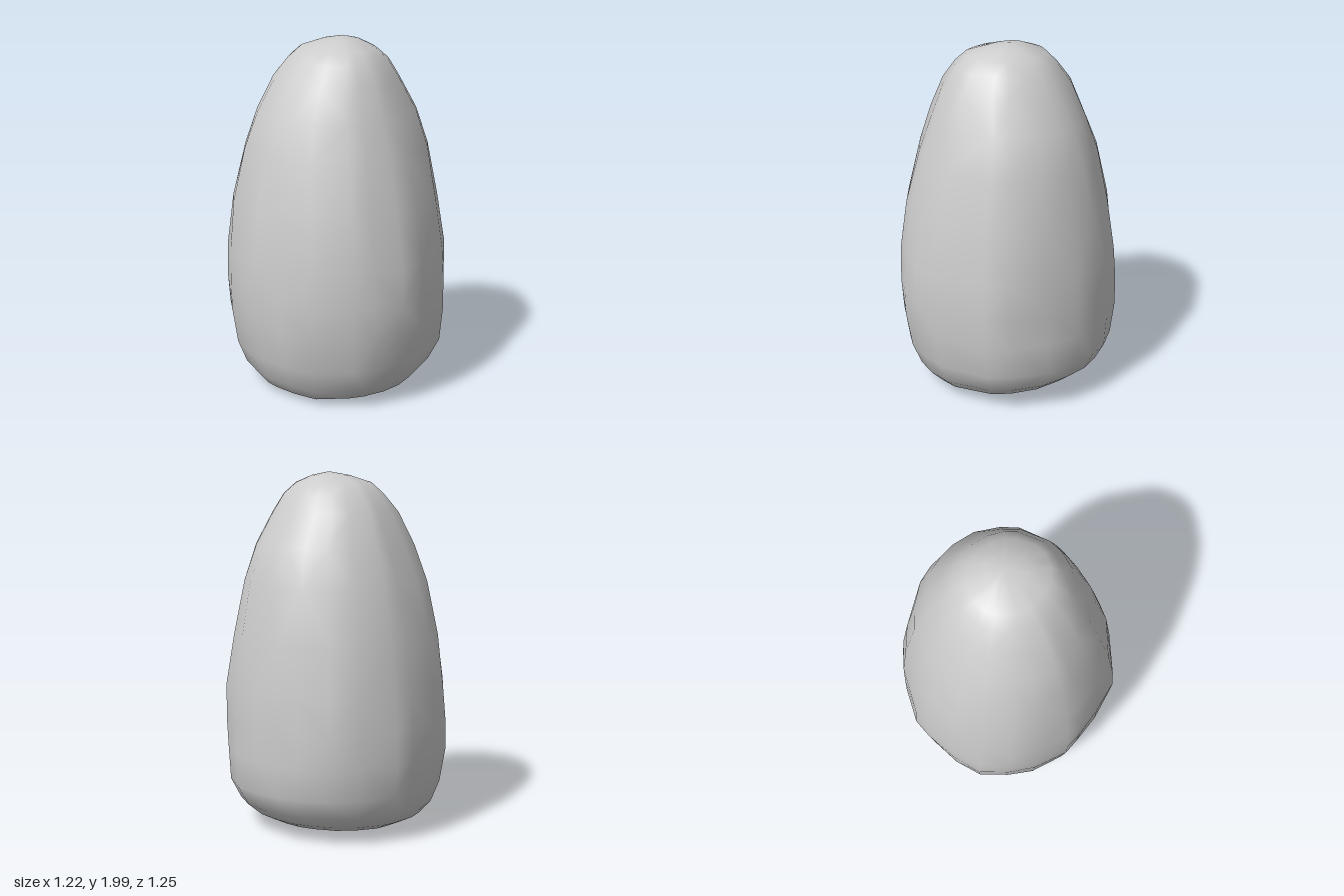
import * as THREE from 'three';

// Irregular plan outline [x, z] at the widest point, from the back round through +x
const OUTLINE = [
  [0.02, -0.63], [0.23, -0.59], [0.38, -0.51], [0.5, -0.38], [0.57, -0.26], [0.605, -0.12],
  [0.615, 0.08], [0.56, 0.28], [0.48, 0.41], [0.23, 0.59], [0.08, 0.625], [-0.09, 0.62],
  [-0.2, 0.59], [-0.42, 0.48], [-0.52, 0.32], [-0.59, 0.15], [-0.615, 0.05], [-0.605, -0.16],
  [-0.55, -0.31], [-0.45, -0.46], [-0.3, -0.55], [-0.1, -0.61],
];

// Cross-sections: height, then reach towards -x, +x, -z, +z
const LEVELS = [
  [0.025, 0.2, 0.2, 0.22, 0.18],
  [0.03, 0.37, 0.38, 0.42, 0.37],
  [0.07, 0.46, 0.46, 0.5, 0.46],
  [0.14, 0.52, 0.54, 0.56, 0.53],
  [0.26, 0.57, 0.605, 0.6, 0.58],
  [0.45, 0.605, 0.61, 0.625, 0.615],
  [0.62, 0.615, 0.612, 0.62, 0.625],
  [0.82, 0.61, 0.61, 0.605, 0.615],
  [1.1, 0.58, 0.57, 0.57, 0.57],
  [1.4, 0.51, 0.52, 0.5, 0.49],
  [1.6, 0.44, 0.45, 0.42, 0.42],
  [1.78, 0.34, 0.34, 0.35, 0.355],
  [1.88, 0.26, 0.28, 0.27, 0.29],
  [1.94, 0.19, 0.21, 0.21, 0.23],
  [1.98, 0.06, 0.13, 0.1, 0.12],
];

function stoneGeometry() {
  const n = OUTLINE.length;
  const pos = [];
  const index = [];
  LEVELS.forEach(([y, left, right, back, front], row) => {
    OUTLINE.forEach(([ox, oz], i) => {
      // slight unevenness, strongest in the middle heights
      const dent = 1 - 0.012 * (1 + Math.sin(i * 2.3 + row * 1.1)) * Math.sin(Math.PI * y / 2);
      const x = (ox / 0.615) * (ox < 0 ? left : right) * dent;
      const z = (oz / 0.627) * (oz < 0 ? back : front) * dent;
      // the underside leans up towards +x and the back
      const tilt = 0.05 * (x - z) * Math.max(0, 1 - y / 0.4);
      pos.push(x, Math.max(0.003, y + tilt), z);
    });
  });
  // side bands
  for (let r = 0; r < LEVELS.length - 1; r++) {
    for (let i = 0; i < n; i++) {
      const a = r * n + i, b = r * n + (i + 1) % n;
      const c = a + n, d = b + n;
      if ((i + r) % 2) index.push(a, c, b, b, c, d);
      else index.push(a, c, d, a, d, b);
    }
  }
  // closing points at the base and crown
  const base = pos.length / 3, crown = base + 1;
  pos.push(0, 0.02, 0, 0.04, 2, 0);
  const last = (LEVELS.length - 1) * n;
  for (let i = 0; i < n; i++) {
    const j = (i + 1) % n;
    index.push(base, i, j, last + i, crown, last + j);
  }
  const geo = new THREE.BufferGeometry();
  geo.setAttribute('position', new THREE.Float32BufferAttribute(pos, 3));
  geo.setIndex(index);
  geo.computeVertexNormals();
  return geo;
}

export function createModel() {
  const group = new THREE.Group();
  group.name = 'standingStone';
  const stone = new THREE.Mesh(stoneGeometry(), new THREE.MeshStandardMaterial({ color: 0xcccccc }));
  stone.name = 'stone';
  group.add(stone);
  return group;
}
